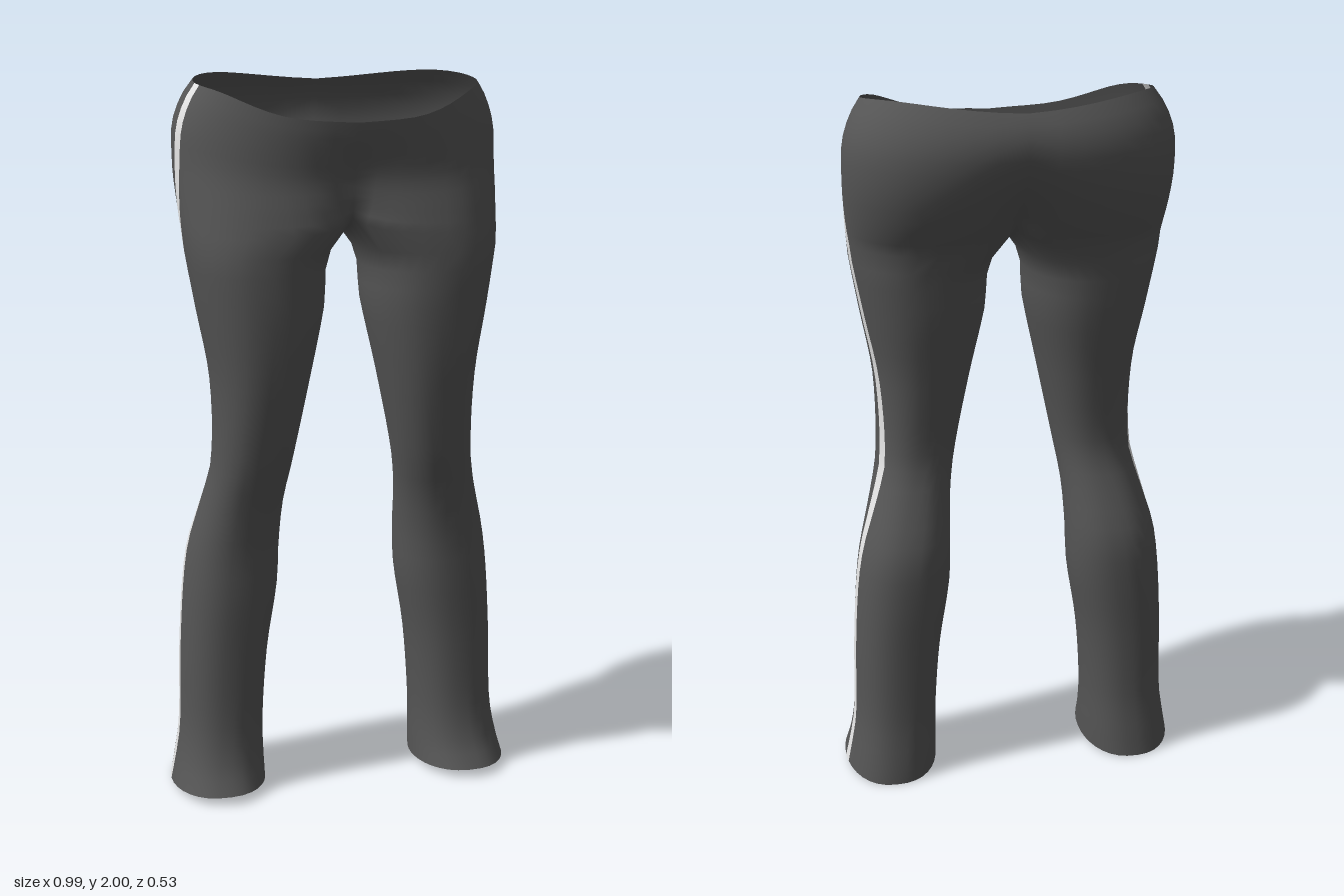
import * as THREE from 'three';
import { mergeVertices } from 'three/addons/utils/BufferGeometryUtils.js';

const N = 12;          // columns on each side of the stripe
const INNER = 8;       // columns on the inside of a leg
const LEG_EDGE = THREE.MathUtils.degToRad(140);
const CROTCH = 1.6;
const { lerp, clamp } = THREE.MathUtils;

// Leg sections: height, outer x, inner x, front z, back z, stripe z
const LEG = [
  [0, 0.495, 0.225, 0.21, -0.145, 0.008],
  [0.07, 0.482, 0.225, 0.175, -0.138, 0.006],
  [0.18, 0.465, 0.225, 0.147, -0.126, 0.003],
  [0.4, 0.458, 0.208, 0.14, -0.125, 0],
  [0.6, 0.445, 0.177, 0.145, -0.13, -0.002],
  [0.72, 0.428, 0.172, 0.148, -0.124, -0.005],
  [0.85, 0.393, 0.165, 0.168, -0.08, 0.008],
  [0.97, 0.367, 0.146, 0.203, -0.046, 0.025],
  [1.2, 0.367, 0.1, 0.25, -0.075, 0.038],
  [1.4, 0.4, 0.057, 0.27, -0.118, 0.036],
  [1.55, 0.425, 0.035, 0.269, -0.14, 0.035],
  [1.6, 0.43, -0.05, 0.265, -0.152, 0.035],
];

// Hip sections: 0 crotch to 1 waist, outer x, roundness, front z, back z, stripe z
const HIPS = [
  [0, 0.43, 0, 0.265, -0.152, 0.035],
  [0.2, 0.436, 0.35, 0.26, -0.21, 0.036],
  [0.45, 0.441, 0.65, 0.247, -0.257, 0.038],
  [0.7, 0.438, 0.85, 0.25, -0.272, 0.042],
  [0.88, 0.415, 0.96, 0.254, -0.255, 0.046],
  [1, 0.385, 1, 0.255, -0.225, 0.05],
];

// Waist height from front centre to back centre
const RIM = [[0, 1.89], [0.15, 1.905], [0.35, 1.962], [0.5, 1.98], [0.75, 2], [1, 1.975]];

// Smooth interpolation of a table at key u
function sample(table, u) {
  const last = table.length - 1;
  let i = 0;
  while (i < last - 1 && u > table[i + 1][0]) i++;
  const a = table[i], b = table[i + 1];
  const p = table[Math.max(i - 1, 0)], q = table[Math.min(i + 2, last)];
  const h = b[0] - a[0], s = clamp((u - a[0]) / h, 0, 1);
  return a.slice(1).map((av, k) => {
    const c = k + 1;
    const m0 = (b[c] - p[c]) / (b[0] - p[0]) * h;
    const m1 = (q[c] - a[c]) / (q[0] - a[0]) * h;
    const s2 = s * s, s3 = s2 * s;
    return (2 * s3 - 3 * s2 + 1) * av + (s3 - 2 * s2 + s) * m0
      + (3 * s2 - 2 * s3) * b[c] + (s3 - s2) * m1;
  });
}

// Point on a slightly squared oval; angle 0 is the outer side, positive is front
function oval(angle, xo, xi, zf, zb) {
  const c = Math.cos(angle);
  return [
    (xo + xi) / 2 + (xo - xi) / 2 * Math.sign(c) * Math.abs(c) ** 0.85,
    (zf + zb) / 2 + (zf - zb) / 2 * Math.sin(angle),
  ];
}

// Angles from front to back, with the stripe as the middle column
function arcAngles(edge, zf, zb, zs) {
  const r = (zf - zb) / 2;
  const mid = Math.asin((zs - (zf + zb) / 2) / r), half = 0.017 / r;
  const out = [];
  for (let k = 0; k <= N; k++) out.push(lerp(edge, mid + half, k / N));
  for (let k = 0; k <= N; k++) out.push(lerp(mid - half, -edge, k / N));
  return out;
}

const baseY = (t) => CROTCH + 0.04 * Math.abs(2 * t - 1) ** 6;

function legRow(y) {
  const [xo, xi, zf, zb, zs] = sample(LEG, y);
  const top = y >= CROTCH;
  const angles = arcAngles(LEG_EDGE, zf, zb, zs);
  const outer = angles.length;
  for (let k = 1; k < INNER; k++) {
    angles.push(lerp(-LEG_EDGE, LEG_EDGE - 2 * Math.PI, k / INNER));
  }
  return angles.map((a, i) => {
    let [x, z] = oval(a, xo, xi, zf, zb);
    // hem rises a little toward the front
    let py = y + 0.025 * clamp((z + 0.145) / 0.355, 0, 1) * clamp(1 - y / 0.1, 0, 1);
    if (top) {
      // the inner side meets the other leg along an arched seam
      if (i === 0 || i >= outer - 1) x = 0;
      const s = 2 * (i - outer + 1) / INNER - 1;
      py = i < outer ? baseY(i / (outer - 1)) : CROTCH + 0.04 * s * s;
    }
    return [x, py, z];
  });
}

function hipRow(v) {
  const [xo, w, zf, zb, zs] = sample(HIPS, v);
  const leg = arcAngles(LEG_EDGE, zf, zb, zs);
  const body = arcAngles(Math.PI / 2, zf, zb, zs);
  return leg.map((a, i) => {
    const t = i / (leg.length - 1);
    const p = oval(a, xo, -0.05, zf, zb), q = oval(body[i], xo, -xo, zf, zb);
    const x = t === 0 || t === 1 ? 0 : lerp(p[0], q[0], w);
    return [x, lerp(baseY(t), sample(RIM, t)[0], v), lerp(p[1], q[1], w)];
  });
}

export function createModel() {
  const positions = [], cloth = [], stripe = [];

  // Skin a stack of rows; side -1 mirrors it
  function skin(rows, closed, side) {
    const start = positions.length / 3, n = rows[0].length;
    rows.flat().forEach(([x, y, z]) => positions.push(x * side, y, z));
    for (let r = 0; r < rows.length - 1; r++) {
      for (let i = 0; i < (closed ? n : n - 1); i++) {
        const a = start + r * n + i, b = start + r * n + (i + 1) % n;
        const c = b + n, d = a + n;
        const faces = side > 0 ? [a, b, c, a, c, d] : [a, c, b, a, d, c];
        (i === N ? stripe : cloth).push(...faces);
      }
    }
  }

  const legRows = [];
  for (let k = 0; k <= 31; k++) legRows.push(legRow(k * 0.05));
  legRows.push(legRow(CROTCH));
  const hipRows = [];
  for (let k = 0; k <= 12; k++) hipRows.push(hipRow(k / 12));
  for (const side of [1, -1]) {
    skin(legRows, true, side);
    skin(hipRows, false, side);
  }

  // Weld the seams so shading is smooth across the whole garment
  let whole = new THREE.BufferGeometry();
  whole.setAttribute('position', new THREE.Float32BufferAttribute(positions, 3));
  whole.setIndex([...cloth, ...stripe]);
  whole = mergeVertices(whole, 1e-4);
  whole.computeVertexNormals();
  const index = Array.from(whole.index.array);

  const fabric = new THREE.MeshStandardMaterial({ color: 0x555555, side: THREE.DoubleSide });
  fabric.name = 'darkGreyFabric';
  const trim = new THREE.MeshStandardMaterial({ color: 0xe4e4e4, side: THREE.DoubleSide });
  trim.name = 'paleGreyTrim';

  const model = new THREE.Group();
  model.name = 'trousers';
  const addPart = (name, faces, material) => {
    const g = new THREE.BufferGeometry();
    g.setAttribute('position', whole.attributes.position);
    g.setAttribute('normal', whole.attributes.normal);
    g.setIndex(faces);
    const mesh = new THREE.Mesh(g, material);
    mesh.name = name;
    model.add(mesh);
  };
  addPart('trouserCloth', index.slice(0, cloth.length), fabric);
  addPart('sideStripes', index.slice(cloth.length), trim);
  return model;
}
